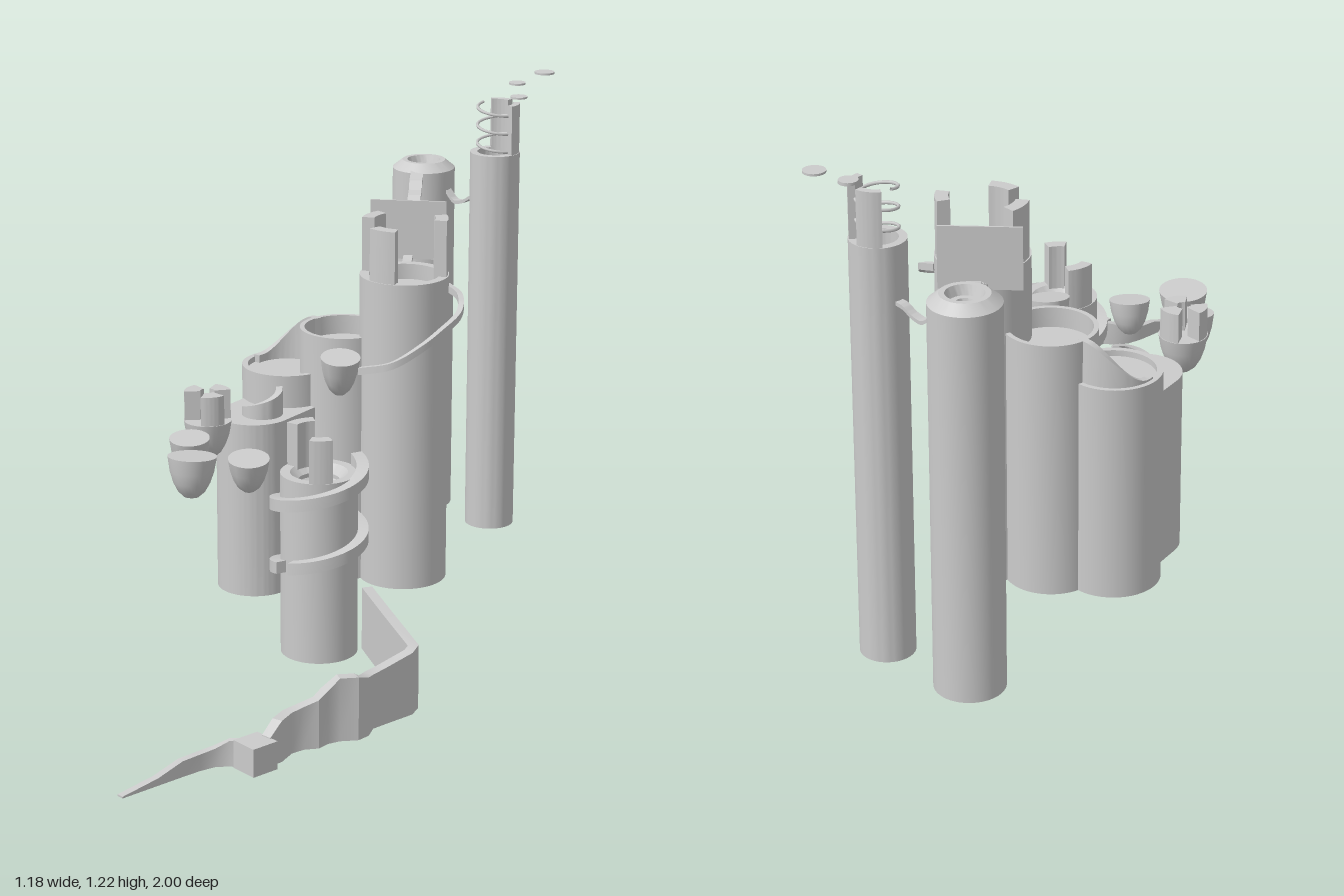
import * as THREE from 'three';
import { toCreasedNormals } from 'three/addons/utils/BufferGeometryUtils.js';

const material = new THREE.MeshStandardMaterial({ color: 0xcccccc, side: THREE.DoubleSide });

function part(group, name, geometry, x = 0, y = 0, z = 0) {
  const mesh = new THREE.Mesh(geometry, material);
  mesh.name = name;
  mesh.position.set(x, y, z);
  group.add(mesh);
  return mesh;
}

// Turned solid from a [radius, height] profile, with crisp edges
function turned(profile, sides = 48) {
  const points = profile.map(([r, y]) => new THREE.Vector2(r, y));
  return toCreasedNormals(new THREE.LatheGeometry(points, sides), 0.5);
}

// Rectangular section swept along points [x, z, bottom, top]
function sweep(points, width) {
  const positions = [], index = [], last = points.length - 1;
  points.forEach(([x, z, bottom, top], i) => {
    const a = points[Math.max(i - 1, 0)], b = points[Math.min(i + 1, last)];
    const dx = b[0] - a[0], dz = b[1] - a[1];
    const k = width / 2 / (Math.hypot(dx, dz) || 1);
    const sx = -dz * k, sz = dx * k;
    positions.push(x + sx, bottom, z + sz, x - sx, bottom, z - sz,
      x - sx, top, z - sz, x + sx, top, z + sz);
    if (i === last) return;
    for (let j = 0; j < 4; j++) {
      const p = i * 4 + j, q = i * 4 + (j + 1) % 4;
      index.push(p, p + 4, q, q, p + 4, q + 4);
    }
  });
  const e = last * 4;
  index.push(0, 1, 2, 0, 2, 3, e, e + 2, e + 1, e, e + 3, e + 2);
  const geometry = new THREE.BufferGeometry();
  geometry.setAttribute('position', new THREE.Float32BufferAttribute(positions, 3));
  geometry.setIndex(index);
  return toCreasedNormals(geometry, 0.5);
}

// Curved wall between two angles in degrees (0 = +x, 90 = +z)
function arcWall(rIn, rOut, from, to, bottom, top, steps = 12) {
  const r = (rIn + rOut) / 2, points = [];
  for (let i = 0; i <= steps; i++) {
    const t = i / steps, a = THREE.MathUtils.degToRad(from + (to - from) * t);
    points.push([r * Math.cos(a), r * Math.sin(a), bottom(t), top(t)]);
  }
  return sweep(points, rOut - rIn);
}
const flat = (y) => () => y;

// Upright crown pieces: each is [middle angle, half spread, top]
function crown(group, name, x, z, rIn, rOut, base, pieces) {
  for (const [mid, half, top] of pieces)
    part(group, name, arcWall(rIn, rOut, mid - half, mid + half, flat(base), flat(top)), x, 0, z);
}

// Thin ribbon through points [x, y, z], smoothed when asked
function ribbon(points, width, thick, smooth) {
  let path = points.map((p) => new THREE.Vector3(...p));
  if (smooth) path = new THREE.CatmullRomCurve3(path).getPoints(40);
  return sweep(path.map((p) => [p.x, p.z, p.y - thick, p.y]), width);
}

// Turned tower with a sunken top
function cupTower(group, name, x, z, r, h, wall, floor) {
  part(group, name, turned([[0, 0], [r, 0], [r, h], [r - wall, h], [r - wall, floor], [0, floor]]), x, 0, z);
}

export function createModel() {
  const model = new THREE.Group();
  model.name = 'towerCluster';

  // Main tower cluster
  const cluster = new THREE.Group();
  cluster.name = 'mainCluster';
  model.add(cluster);
  cupTower(cluster, 'highTower', -0.125, -0.38, 0.113, 0.81, 0.023, 0.77);
  crown(cluster, 'highTowerProng', -0.125, -0.38, 0.078, 0.11, 0.77,
    [[75, 20, 0.945], [165, 20, 0.95], [-48, 18, 0.955]]);
  cupTower(cluster, 'middleTower', -0.277, -0.31, 0.112, 0.65, 0.012, 0.6);
  cupTower(cluster, 'leftTower', -0.39, -0.215, 0.115, 0.545, 0.015, 0.53);
  const rise = (t) => 0.55 + 0.1 * THREE.MathUtils.smoothstep(t, 0.1, 0.9);
  part(cluster, 'leftTowerParapet', arcWall(0.085, 0.103, 165, 280, flat(0.53), rise, 24), -0.39, 0, -0.215);

  // Rounded low block in front of the left tower
  const [ax, az, bx, bz, r] = [-0.36, -0.2, -0.325, -0.05, 0.096];
  const turn = Math.atan2(az - bz, bx - ax);
  const outline = new THREE.Shape();
  outline.absarc(bx, -bz, r, turn - Math.PI / 2, turn + Math.PI / 2);
  outline.absarc(ax, -az, r, turn + Math.PI / 2, turn + Math.PI * 1.5);
  const block = new THREE.ExtrudeGeometry(outline, { depth: 0.46, bevelEnabled: false, curveSegments: 24 });
  part(cluster, 'frontBlock', toCreasedNormals(block.rotateX(-Math.PI / 2), 0.5));
  part(cluster, 'frontBlockCurl',
    arcWall(0.035, 0.052, -60, 130, flat(0.45), (t) => 0.53 - 0.05 * t, 20), -0.31, 0, -0.065);

  // Winding walkway from the high tower
  part(cluster, 'windingWalkway', ribbon([[-0.05, 0.785, -0.46], [0.0, 0.77, -0.455], [0.035, 0.74, -0.42],
    [0.052, 0.71, -0.34], [0.05, 0.68, -0.27], [0.02, 0.645, -0.205], [-0.06, 0.62, -0.17]], 0.014, 0.018, true));

  // Floating bowls: x, top, z, radius, depth, tilt x, tilt z
  const bowls = [
    [-0.295, 0.49, 0.125, 0.06, 0.1, 0, 0],
    [-0.225, 0.485, 0.24, 0.05, 0.1, 0.08, -0.08],
    [-0.115, 0.485, 0.32, 0.06, 0.105, -0.08, 0.05],
    [-0.04, 0.472, 0.205, 0.051, 0.09, 0.1, -0.12],
    [-0.13, 0.63, -0.17, 0.05, 0.105, 0.1, -0.15],
  ];
  for (const [x, y, z, rad, depth, tx, tz] of bowls) {
    const profile = [[0, -1], [0.3, -0.96], [0.55, -0.83], [0.75, -0.62], [0.9, -0.35], [1, 0], [0, 0]];
    const bowl = part(model, 'floatingBowl', turned(profile.map(([u, v]) => [u * rad, v * depth]), 32), x, y, z);
    bowl.rotation.set(tx, 0, tz);
  }
  crown(model, 'bowlCrownPiece', -0.295, 0.125, 0.018, 0.058, 0.48,
    [[25, 32, 0.565], [155, 32, 0.565], [-90, 32, 0.565]]);

  // Front tower with spiral ledge
  const front = new THREE.Group();
  front.name = 'frontTower';
  front.position.set(0.118, 0, 0.117);
  model.add(front);
  part(front, 'frontTowerBody', turned([[0, 0], [0.094, 0], [0.094, 0.46], [0.07, 0.46],
    [0.05, 0.44], [0.05, 0.43], [0.025, 0.415], [0, 0.415]]));
  crown(front, 'frontTowerProng', 0, 0, 0.062, 0.092, 0.44, [[38, 18, 0.568], [188, 24, 0.568]]);
  for (const [from, to] of [[195, 99], [81, -440]]) {
    const level = (t) => 0.2 + (180 - from - (to - from) * t) * 0.16 / 360;
    part(front, 'spiralLedge', arcWall(0.09, 0.12, from, to, (t) => level(t) - 0.015,
      (t) => level(t) + 0.015, Math.ceil((from - to) / 7)));
  }

  // Stepped boundary wall winding to the front
  part(model, 'boundaryWall', sweep([
    [0.19, 0.025, 0, 0.16], [0.36, 0.107, 0, 0.16], [0.535, 0.19, 0, 0.16], [0.546, 0.215, 0, 0.155],
    [0.546, 0.3, 0, 0.14], [0.547, 0.34, 0, 0.135], [0.57, 0.375, 0, 0.145], [0.573, 0.4, 0, 0.155],
    [0.55, 0.435, 0, 0.155], [0.542, 0.47, 0, 0.13], [0.547, 0.5, 0, 0.118], [0.53, 0.53, 0, 0.105],
    [0.528, 0.57, 0, 0.1], [0.547, 0.615, 0, 0.1], [0.55, 0.65, 0, 0.07]], 0.026));
  part(model, 'wallBlock', new THREE.BoxGeometry(0.07, 0.068, 0.07), 0.548, 0.034, 0.68);
  part(model, 'taperedWall', sweep([[0.525, 0.69, 0, 0.065], [0.495, 0.71, 0, 0.062], [0.475, 0.74, 0, 0.045],
    [0.468, 0.78, 0, 0.04], [0.467, 0.83, 0, 0.038], [0.467, 0.9, 0, 0.018], [0.467, 1, 0, 0.004]], 0.018));

  // Rear tower with bevelled, sunken top
  part(model, 'rearTower', turned([[0, 0], [0.083, 0], [0.083, 0.947], [0.057, 0.968], [0.044, 0.968],
    [0.036, 0.945], [0.022, 0.945], [0.018, 0.93], [0, 0.93]]), -0.508, 0, -0.8);

  // Slender hollow tower with open crown and inner spiral
  const slender = new THREE.Group();
  slender.name = 'slenderTower';
  slender.position.set(-0.262, 0, -0.825);
  model.add(slender);
  part(slender, 'slenderTowerBody', turned([[0.046, 0], [0.065, 0], [0.065, 1.03], [0.046, 1.03], [0.046, 0]]));
  crown(slender, 'slenderTowerProng', 0, 0, 0.046, 0.063, 1.02, [[240, 28, 1.16], [-28, 30, 1.16]]);
  const coil = [];
  for (let i = 0; i <= 48; i++) {
    const a = i / 48 * Math.PI * 5;
    coil.push(new THREE.Vector3(0.047 * Math.cos(a), 1.035 + 0.12 * i / 48, 0.047 * Math.sin(a)));
  }
  part(slender, 'innerSpiral', new THREE.TubeGeometry(new THREE.CatmullRomCurve3(coil), 120, 0.004, 6));

  // Floating step discs
  for (const [x, y, z, rad] of [[-0.238, 1.17, -0.885, 0.022], [-0.28, 1.195, -0.92, 0.022], [-0.238, 1.222, -0.978, 0.026]])
    part(model, 'floatingStep', new THREE.CylinderGeometry(rad, rad, 0.005, 24), x, y, z);

  // Upright plate at the crossing
  const plate = part(model, 'uprightPlate', new THREE.BoxGeometry(0.195, 0.155, 0.005), -0.25, 0.876, -0.508);
  plate.rotation.y = Math.atan2(0.13, 0.145);

  // Stepped bridge from the rear tower to the plate and the cluster
  const steps = [[-0.475, 0.955, -0.745]];
  for (let i = 0; i < 5; i++) {
    const at = (t) => [-0.455 + 0.185 * t, -0.725 + 0.195 * t];
    const [x0, z0] = at(i / 5), [x1, z1] = at((i + 0.6) / 5), y = 0.945 - 0.026 * i;
    steps.push([x0, y, z0], [x1, y - 0.006, z1]);
  }
  steps.push([-0.25, 0.81, -0.508]);
  part(model, 'steppedBridge', ribbon(steps, 0.034, 0.012));
  part(model, 'clusterBridge', ribbon([[-0.25, 0.81, -0.508], [-0.225, 0.8, -0.48], [-0.19, 0.8, -0.45]], 0.024, 0.012));
  part(model, 'rearBridge', ribbon([[-0.43, 0.9, -0.815], [-0.4, 0.875, -0.818], [-0.37, 0.88, -0.82],
    [-0.345, 0.895, -0.823], [-0.32, 0.9, -0.825]], 0.022, 0.009, true));

  return model;
}
